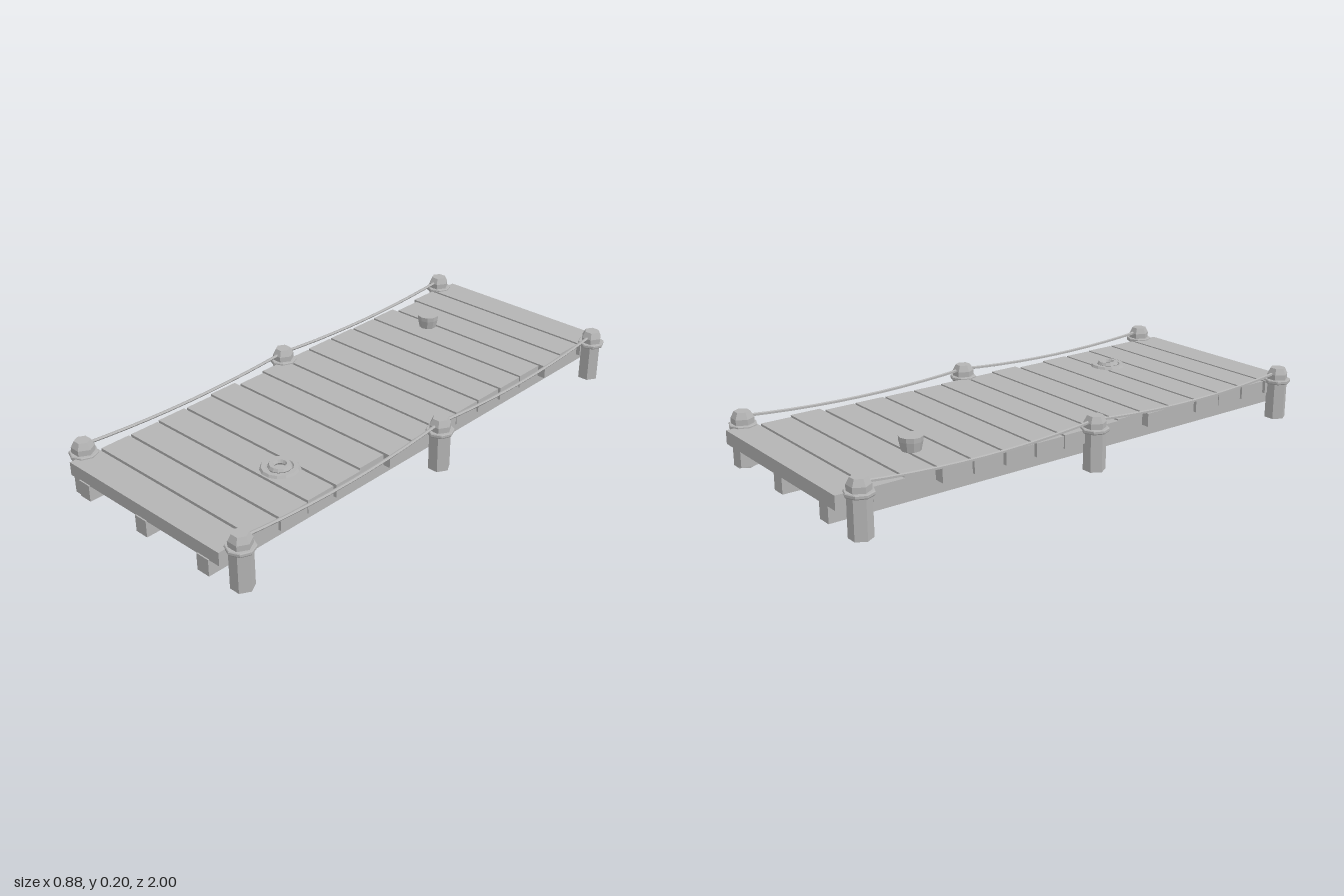
import * as THREE from 'three';

export function createModel() {
  const dock = new THREE.Group();
  dock.name = 'dock';
  const grey = new THREE.MeshStandardMaterial({ color: 0xb4b4b4 });
  grey.name = 'plain grey';

  const add = (name, geometry, x, y, z, parent = dock) => {
    // unshared corners give crisp facets
    const flat = geometry.index ? geometry.toNonIndexed() : geometry;
    flat.computeVertexNormals();
    const mesh = new THREE.Mesh(flat, grey);
    mesh.name = name;
    mesh.position.set(x, y, z);
    parent.add(mesh);
    return mesh;
  };
  const lathe = (points, sides, start = 0) =>
    new THREE.LatheGeometry(points.map(([r, y]) => new THREE.Vector2(r, y)), sides, start);

  // Deck planks, each nudged sideways a little
  const shifts = [0, -0.01, 0.01, -0.014, -0.011, -0.014, -0.014, -0.009,
    -0.009, 0.004, -0.016, -0.003, -0.006, 0, 0, -0.004];
  shifts.forEach((x, i) =>
    add('plank', new THREE.BoxGeometry(0.737, 0.049, 0.115), x, 0.1225, -0.94 + i * 0.125));

  // Three long beams under the deck
  for (const x of [-0.297, -0.002, 0.293]) {
    add('beam', new THREE.BoxGeometry(0.053, 0.061, 1.995), x, 0.0705, 0);
  }

  // Hexagonal posts with bevelled heads and rope collars
  const postZ = [-0.925, 0, 0.925];
  for (const side of [-1, 1]) {
    for (const z of postZ) {
      const post = new THREE.Group();
      post.name = 'post';
      post.position.set(side * 0.388, 0, z);
      dock.add(post);
      add('postBody', lathe([[0, 0], [0.04, 0], [0.04, 0.174], [0.028, 0.197], [0, 0.197]],
        6, Math.PI / 6), 0, 0, 0, post);
      add('postCollar', lathe([[0.036, 0.139], [0.048, 0.139], [0.0505, 0.143], [0.0505, 0.151],
        [0.048, 0.154], [0.036, 0.154]], 8), 0, 0, 0, post);
    }

    // Ropes sagging between neighbouring posts
    for (let i = 0; i < 2; i++) {
      const curve = new THREE.QuadraticBezierCurve3(
        new THREE.Vector3(0, 0.178, postZ[i]),
        new THREE.Vector3(side * 0.008, 0.13, (postZ[i] + postZ[i + 1]) / 2),
        new THREE.Vector3(0, 0.178, postZ[i + 1]));
      add('rope', new THREE.TubeGeometry(curve, 10, 0.006, 5), side * 0.388, 0, 0);
    }
  }

  // Bucket-shaped bollard
  add('bollard', lathe([[0, 0], [0.034, 0], [0.041, 0.033], [0.042, 0.05], [0, 0.05]], 10),
    -0.177, 0.147, -0.605);

  // Coiled rope: two stacked rings
  for (const [radius, tube, y] of [[0.055, 0.016, 0.142], [0.03, 0.012, 0.155]]) {
    add('ropeCoil', new THREE.TorusGeometry(radius, tube, 6, 14).rotateX(Math.PI / 2), 0.16, y, 0.545);
  }
  return dock;
}
